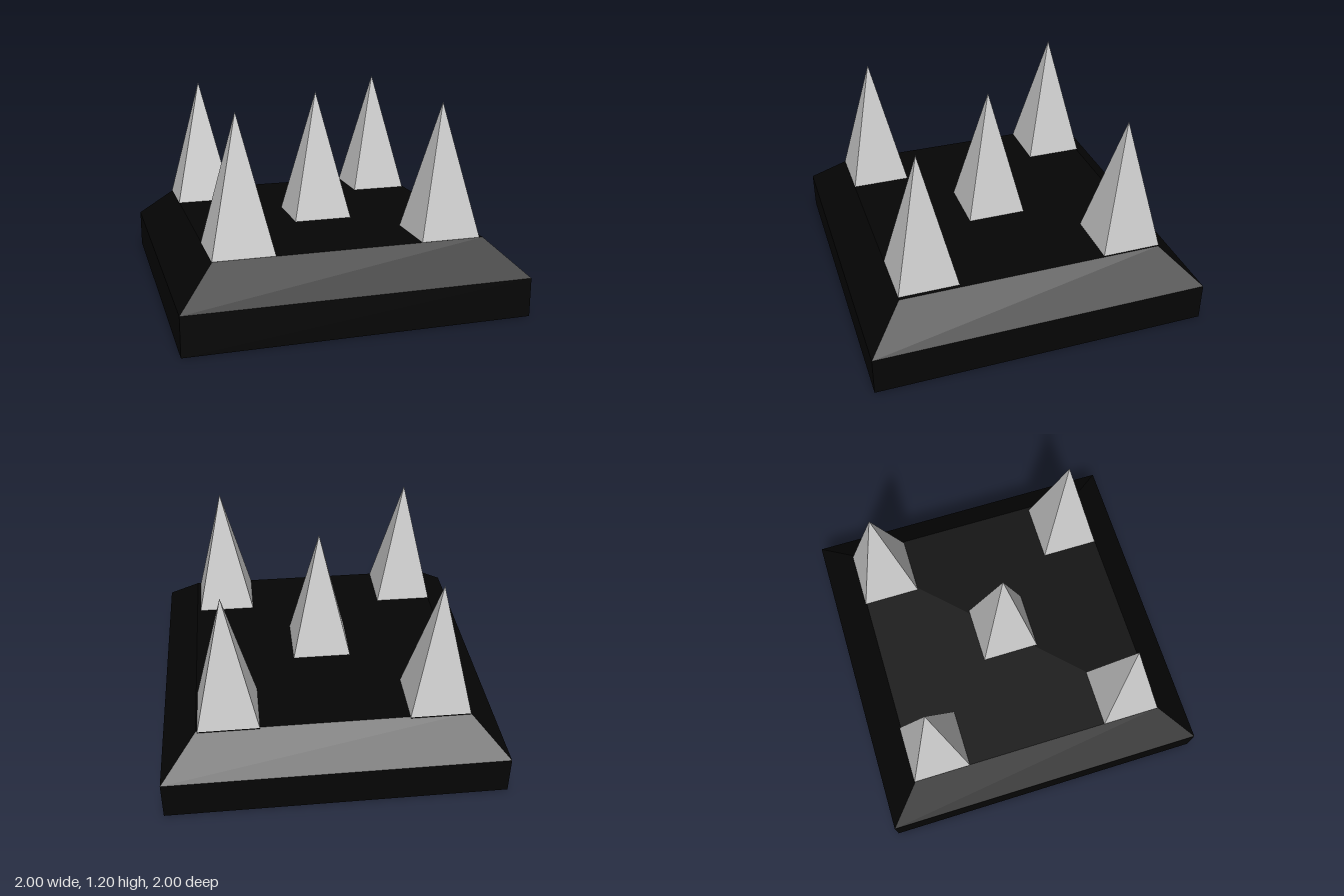
import * as THREE from 'three';

const RIM = 0.23;    // height of the upright skirt
const DECK = 0.43;   // height of the flat top
const TIP = 1.2;     // height of the spike points
const FOOT = 0.02;   // underside of the spike feet
const HALF = 0.177;  // half width of a spike
const TOP = 0.79;    // half width of the flat top

function mesh(name, geometry, material, x = 0, y = 0, z = 0) {
  const m = new THREE.Mesh(geometry, material);
  m.name = name;
  m.position.set(x, y, z);
  return m;
}

// Four walls around a square, from half width a at y0 to half width b at y1
function walls(name, a, b, y0, y1, material) {
  const g = new THREE.CylinderGeometry(b * Math.SQRT2, a * Math.SQRT2, y1 - y0, 4, 1, true, Math.PI / 4);
  return mesh(name, g, material, 0, (y0 + y1) / 2, 0);
}

export function createModel() {
  const model = new THREE.Group();
  model.name = 'spikeTrap';
  const black = new THREE.MeshStandardMaterial({ color: 0x050505, flatShading: true, side: THREE.DoubleSide });
  const grey = new THREE.MeshStandardMaterial({ color: 0xcccccc, flatShading: true });

  // Base: a thin shell, open underneath
  model.add(walls('baseSkirt', 1, 1, 0, RIM, black));
  model.add(walls('baseBevel', 1, TOP, RIM, DECK, black));
  const deck = new THREE.PlaneGeometry(TOP * 2, TOP * 2).rotateX(-Math.PI / 2);
  model.add(mesh('baseTop', deck, black, 0, DECK, 0));

  // Five spikes: pyramid above the top, black socket below it, square foot at the bottom
  const foot = new THREE.BoxGeometry(HALF * 2, RIM - FOOT, HALF * 2);
  const places = [[-0.615, -0.62], [0.605, -0.62], [0.008, 0.015], [-0.615, 0.612], [0.592, 0.612]];
  for (const [x, z] of places) {
    const spike = new THREE.Group();
    spike.name = 'spike';
    spike.position.set(x, 0, z);
    spike.add(walls('spikePoint', HALF, 0, DECK, TIP, grey));
    spike.add(walls('spikeSocket', HALF, HALF, RIM, DECK, black));
    spike.add(mesh('spikeFoot', foot, grey, 0, (RIM + FOOT) / 2, 0));
    model.add(spike);
  }
  return model;
}
